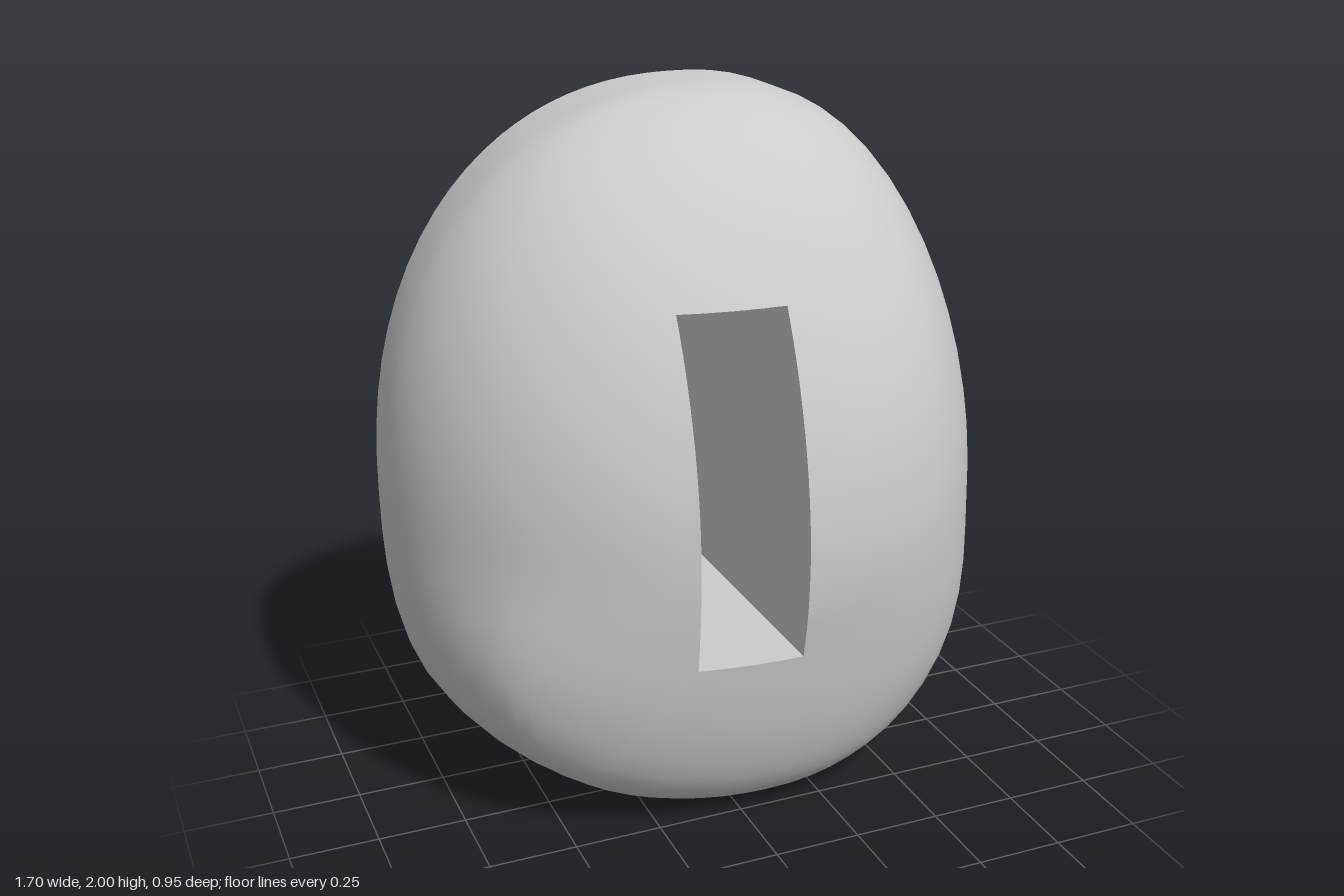
import * as THREE from 'three';

const BACK = -0.475, WIDEST = -0.28, DEPTH = 0.755;
const APEX = { x: 0.09, y: 0.86 };
const SLOT = { x0: -0.2, x1: 0.095, y0: 0.57, y1: 1.515 };

// Rounded, lopsided dome: below 1 inside, above 1 outside
function dome(x, y, z) {
  const right = x > APEX.x, up = y > APEX.y;
  const u = Math.abs(x - APEX.x) / (right ? 0.76 : 0.945);
  const v = Math.abs(y - APEX.y) / (up ? 1.14 : 0.86);
  const h = Math.max(0, (z - WIDEST) / DEPTH);
  // Squareness of the outline, from the widest section to the front
  const wide = up ? (right ? 2.35 : 2.25) : (right ? 2.93 : 2.85);
  const front = up ? (right ? 1.85 : 2.1) : 1.9;
  const n = wide + (front - wide) * Math.min(1, h);
  // Squareness towards the front; the underside is flat, then slants up
  const mx = right ? 2.35 : 2;
  const my = up ? 1.8 : THREE.MathUtils.clamp(2.6 + (0.914 - h) * 8, 2.2, 5);
  const m = (mx * u * u + my * v * v) / (u * u + v * v + 1e-9);
  return (u ** n + v ** n) ** (m / n) + h ** m;
}

// Slot rim points, counter-clockwise, each with a direction fanning outwards
function slotRim() {
  const { x0, x1, y0, y1 } = SLOT;
  const sides = [
    [x1, y0, x1, y1, -55, 55, 22], [x1, y1, x0, y1, 55, 125, 14],
    [x0, y1, x0, y0, 125, 235, 22], [x0, y0, x1, y0, 235, 305, 14],
  ];
  const rim = [];
  for (const [ax, ay, bx, by, a0, a1, count] of sides) {
    for (let i = 0; i < count; i++) {
      const t = i / count, a = THREE.MathUtils.degToRad(a0 + (a1 - a0) * t);
      rim.push({ x: ax + (bx - ax) * t, y: ay + (by - ay) * t, dx: Math.cos(a), dy: Math.sin(a) });
    }
  }
  return rim;
}

// Point where a ray from the slot, tilted by phi, meets the dome
function surfacePoint(p, phi) {
  const c = Math.cos(phi), s = Math.sin(phi);
  const at = (t) => [p.x + p.dx * c * t, p.y + p.dy * c * t, WIDEST + s * t];
  let lo = 0, hi = 3;
  for (let i = 0; i < 40; i++) {
    const mid = (lo + hi) / 2;
    if (dome(...at(mid)) < 1) lo = mid; else hi = mid;
  }
  return at(lo);
}

// Skin over closed loops of equal length
function loft(loops) {
  const n = loops[0].length, index = [];
  for (let i = 0; i < loops.length - 1; i++) {
    for (let j = 0; j < n; j++) {
      const k = (j + 1) % n;
      const a = i * n + j, b = a + n, c = (i + 1) * n + k, d = i * n + k;
      index.push(a, b, c, a, c, d);
    }
  }
  const geometry = new THREE.BufferGeometry();
  geometry.setAttribute('position', new THREE.Float32BufferAttribute(loops.flat(2), 3));
  geometry.setIndex(index);
  return geometry;
}

export function createModel() {
  const group = new THREE.Group();
  const material = new THREE.MeshStandardMaterial({ color: 0xcccccc });
  const rim = slotRim();
  const add = (name, geometry) => {
    geometry.computeVertexNormals();
    const mesh = new THREE.Mesh(geometry, material);
    mesh.name = name;
    group.add(mesh);
  };

  // Dome from the slot rim out to the widest outline
  const loops = [];
  const rings = 26;
  for (let i = 0; i <= rings; i++) {
    const phi = (Math.PI / 2) * (1 - i / rings);
    loops.push(rim.map((p) => surfacePoint(p, phi)));
  }
  // Slight taper of the sides and underside behind the widest outline
  const widest = loops[rings];
  for (let i = 1; i <= 4; i++) {
    const t = i / 4, sx = 1 - 0.022 * t * t, sy = 1 - 0.011 * t * t;
    loops.push(widest.map(([x, y]) => [
      APEX.x + (x - APEX.x) * sx, 2 + (y - 2) * sy, WIDEST + (BACK - WIDEST) * t,
    ]));
  }
  add('domeShell', loft(loops));

  // Flat back and the straight walls of the slot
  const slotBack = rim.map((p) => [p.x, p.y, BACK]);
  add('flatBack', loft([loops[loops.length - 1], slotBack]).toNonIndexed());
  add('slotWalls', loft([slotBack, loops[0]]).toNonIndexed());

  return group;
}
